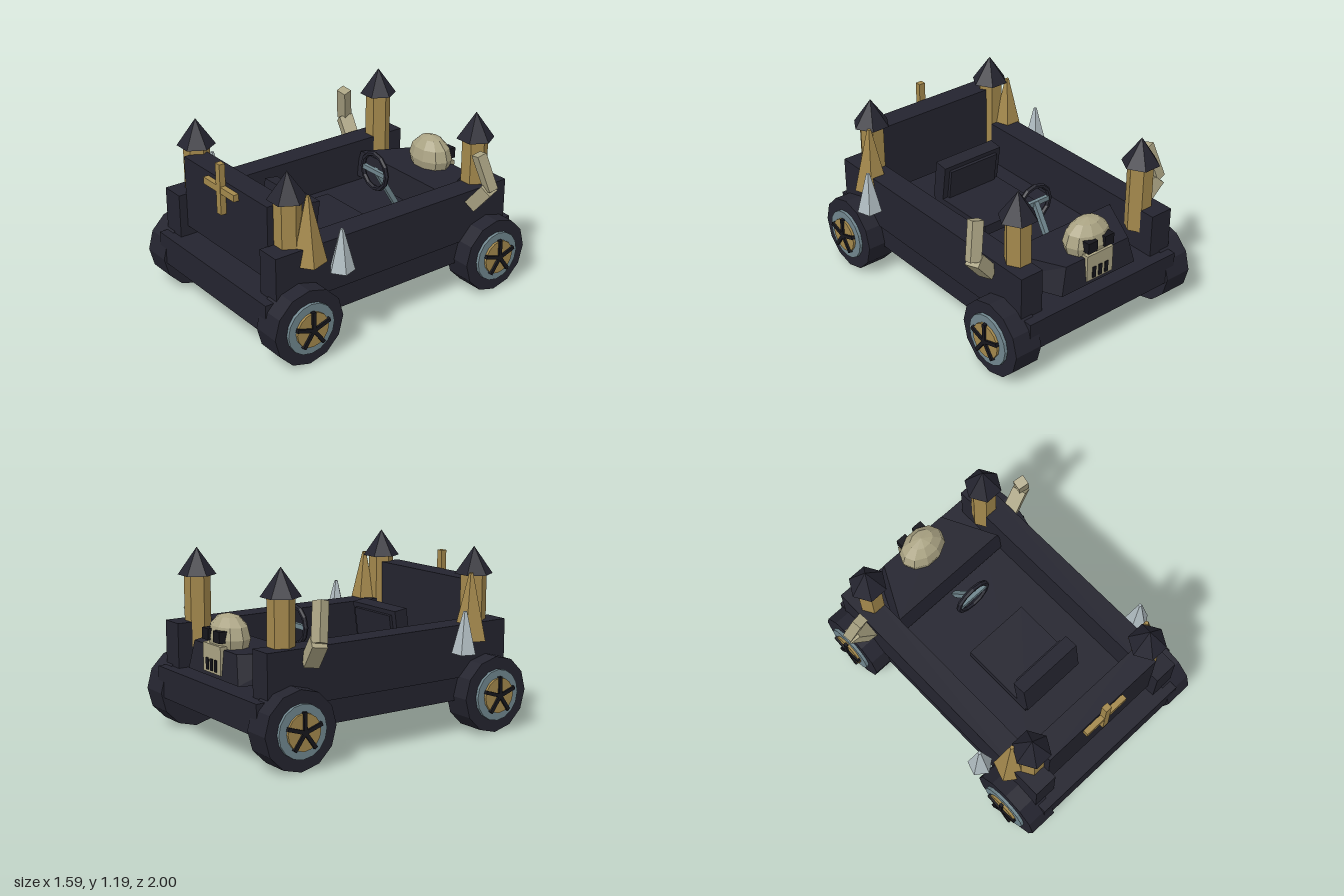
import * as THREE from 'three';

const paint = (name, color) => {
  const m = new THREE.MeshStandardMaterial({ color, flatShading: true });
  m.name = name;
  return m;
};

export function createModel() {
  const dark = paint('dark iron', 0x24242f);
  const black = paint('black', 0x16161c);
  const gold = paint('old gold', 0xa3884c);
  const bone = paint('bone', 0xaaa383);
  const silver = paint('silver', 0xb0bcc1);
  const steel = paint('steel', 0x70868e);

  const model = new THREE.Group();
  model.name = 'gothicCart';

  const add = (name, geo, mat, x = 0, y = 0, z = 0, parent = model) => {
    const m = new THREE.Mesh(geo, mat);
    m.name = name;
    m.position.set(x, y, z);
    parent.add(m);
    return m;
  };
  // box given by its lower and upper corners
  const box = (name, mat, a, b, parent = model) => add(name,
    new THREE.BoxGeometry(b[0] - a[0], b[1] - a[1], b[2] - a[2]), mat,
    (a[0] + b[0]) / 2, (a[1] + b[1]) / 2, (a[2] + b[2]) / 2, parent);
  // square bar running between two points
  const bar = (name, mat, a, b, w, d) => {
    const p = new THREE.Vector3(...a), q = new THREE.Vector3(...b);
    const m = add(name, new THREE.BoxGeometry(w, p.distanceTo(q), d), mat);
    m.position.copy(p).add(q).multiplyScalar(0.5);
    m.quaternion.setFromUnitVectors(new THREE.Vector3(0, 1, 0), q.sub(p).normalize());
    return m;
  };

  // body
  box('chassis', dark, [-0.6, 0.22, -0.98], [0.6, 0.42, 0.98]);
  box('endWall', dark, [-0.455, 0.487, 0.7], [0.455, 0.97, 0.855]);
  box('crossUpright', gold, [-0.028, 0.757, 0.855], [0.018, 1.092, 0.895]);
  box('crossArm', gold, [-0.173, 0.9, 0.857], [0.162, 0.945, 0.893]);

  // hood: a box narrowed towards the nose and towards its top
  const hood = new THREE.BoxGeometry(1, 0.185, 1);
  const hp = hood.attributes.position;
  for (let i = 0; i < hp.count; i++) {
    const top = hp.getY(i) > 0, nose = hp.getZ(i) < 0;
    const half = (nose ? 0.3 : 0.48) - (top ? 0.045 : 0);
    hp.setX(i, Math.sign(hp.getX(i)) * half);
    hp.setZ(i, nose ? (top ? -0.9 : -0.92) : (top ? -0.545 : -0.525));
  }
  hood.computeVertexNormals();
  add('hood', hood, dark, 0, 0.5475, 0);

  // seat
  box('seatCushion', dark, [-0.23, 0.45, -0.1], [0.23, 0.52, 0.42]);
  const back = new THREE.Group();
  back.name = 'seatBack';
  back.position.set(0, 0.63, 0.37);
  back.rotation.x = -0.14;
  model.add(back);
  box('backPanel', dark, [-0.23, -0.14, -0.045], [0.23, 0.14, 0.05], back);
  box('backPad', dark, [-0.19, -0.1, -0.065], [0.19, 0.11, -0.045], back);

  // steering
  add('steeringWheel', new THREE.TorusGeometry(0.122, 0.017, 6, 12), dark, 0, 0.71, -0.315);
  box('steeringBar', steel, [-0.11, 0.695, -0.328], [0.11, 0.727, -0.302]);
  bar('steeringPost', steel, [0, 0.72, -0.32], [0, 0.42, -0.5], 0.034, 0.034);

  // skull on the nose
  const skull = add('skullDome', new THREE.SphereGeometry(1, 10, 6), bone, 0, 0.695, -0.8);
  skull.scale.set(0.17, 0.15, 0.122);
  box('skullJaw', bone, [-0.105, 0.48, -0.925], [0.105, 0.66, -0.82]);
  for (const x of [-0.05, 0, 0.05]) {
    box('toothGap', black, [x - 0.013, 0.495, -0.932], [x + 0.013, 0.57, -0.924]);
  }

  for (const s of [-1, 1]) {
    // side wall
    const wall = box('sideWall', dark, [0.45, 0.37, -0.91], [0.612, 0.712, 0.91]);
    wall.position.x *= s;

    box('eyeSocket', black, [s * 0.067 - 0.037, 0.68, -0.93], [s * 0.067 + 0.037, 0.752, -0.84]);

    for (const e of [-1, 1]) {
      // tower with pointed roof
      const tower = new THREE.Group();
      tower.name = 'tower';
      tower.position.set(s * 0.495, 0, e * 0.738);
      tower.rotation.y = Math.PI / 6;
      model.add(tower);
      add('towerShaft', new THREE.CylinderGeometry(0.085, 0.085, 0.46, 6), gold, 0, 0.78, 0, tower);
      add('towerRoof', new THREE.ConeGeometry(0.124, 0.177, 6), dark, 0, 1.098, 0, tower);

      // wheel, stacked outwards along x
      const wheel = new THREE.Group();
      wheel.name = 'wheel';
      wheel.position.set(0, 0.25, e * 0.75);
      model.add(wheel);
      const disc = (name, mat, r, x0, x1, sides) => {
        const m = add(name, new THREE.CylinderGeometry(r, r, x1 - x0, sides), mat,
          s * (x0 + x1) / 2, 0, 0, wheel);
        m.rotation.z = Math.PI / 2;
      };
      disc('tyre', dark, 0.25, 0.53, 0.722, 12);
      disc('rim', steel, 0.168, 0.7, 0.742, 16);
      disc('hubPlate', gold, 0.115, 0.73, 0.758, 16);
      for (let i = 0; i < 5; i++) {
        const spoke = new THREE.Group();
        spoke.name = 'spoke';
        spoke.rotation.x = i * Math.PI * 2 / 5;
        wheel.add(spoke);
        add('spokeBar', new THREE.BoxGeometry(0.022, 0.125, 0.024), black, s * 0.76, 0.0625, 0, spoke);
      }
    }

    // spikes beside the end wall
    add('goldSpike', new THREE.CylinderGeometry(0.014, 0.115, 0.43, 5), gold, s * 0.575, 0.815, 0.65);
    add('silverSpike', new THREE.CylinderGeometry(0.012, 0.082, 0.27, 5), silver, s * 0.702, 0.685, 0.497);

    // bent bone beside the nose
    bar('upperBone', bone, [s * 0.69, 1.0, -0.59], [s * 0.755, 0.765, -0.645], 0.065, 0.075);
    bar('lowerBone', bone, [s * 0.745, 0.77, -0.64], [s * 0.625, 0.625, -0.62], 0.085, 0.095);
  }

  return model;
}
